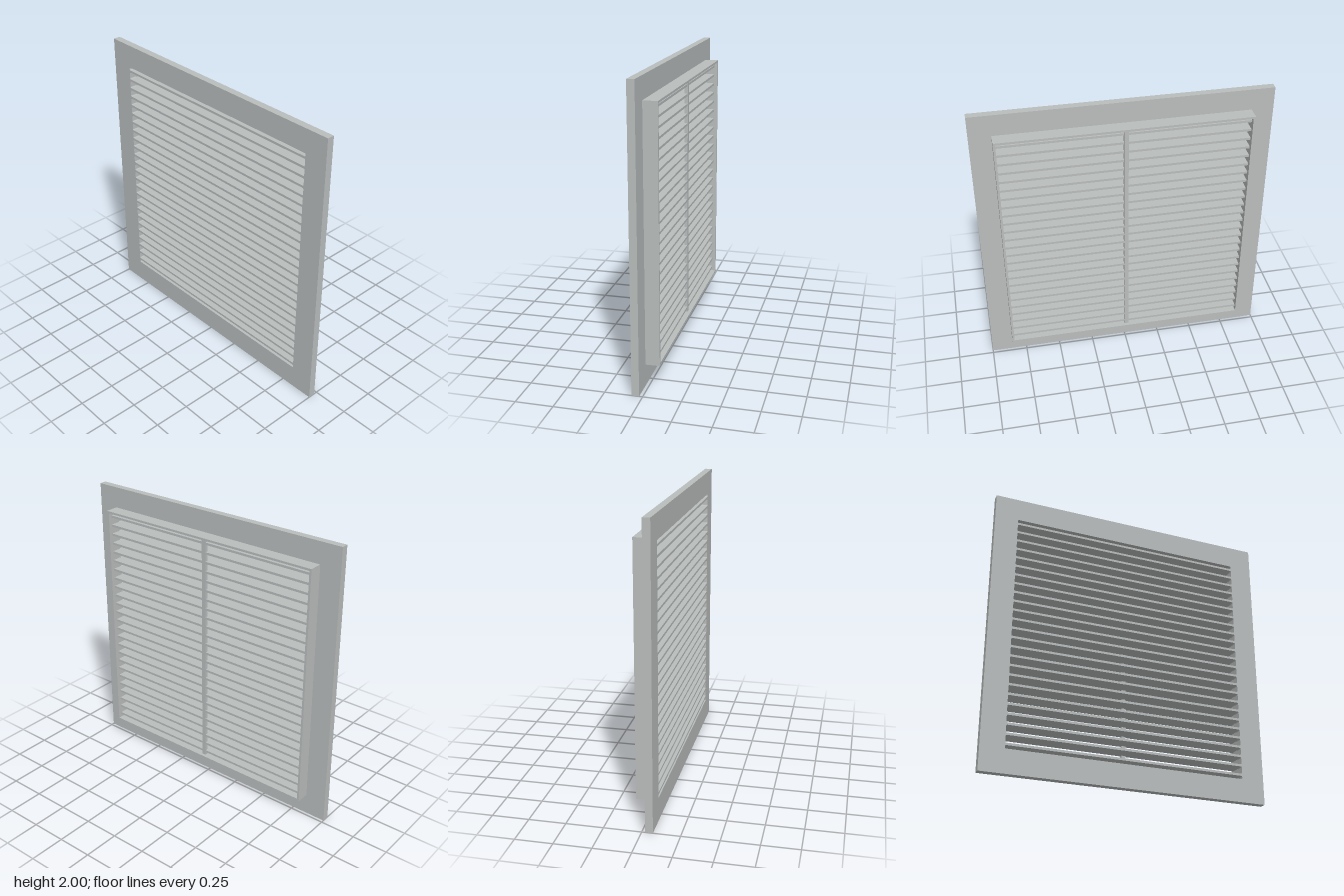
import * as THREE from 'three';

const FRONT = 0.0725, PLATE_BACK = 0.0225, BACK = -0.0725;
const OPEN = 0.837, SLEEVE = 0.852;       // half sizes of opening and sleeve
const SLATS = 25, PITCH = 0.0672, THICK = 0.016;
const SLAT_BACK = -0.047;

// Rectangle path with optional rounded corners
function rect(path, x0, y0, x1, y1, r = 0) {
  if (r === 0) {
    path.moveTo(x0, y0).lineTo(x1, y0).lineTo(x1, y1).lineTo(x0, y1).closePath();
    return path;
  }
  path.absarc(x1 - r, y0 + r, r, -Math.PI / 2, 0, false);
  path.absarc(x1 - r, y1 - r, r, 0, Math.PI / 2, false);
  path.absarc(x0 + r, y1 - r, r, Math.PI / 2, Math.PI, false);
  path.absarc(x0 + r, y0 + r, r, Math.PI, Math.PI * 1.5, false);
  path.closePath();
  return path;
}

function extrude(shape, z0, z1) {
  const g = new THREE.ExtrudeGeometry(shape, { depth: z1 - z0, bevelEnabled: false, curveSegments: 3 });
  return g.translate(0, 0, z0);
}

export function createModel() {
  const group = new THREE.Group();
  const grey = new THREE.MeshStandardMaterial({ color: 0xb9bdbc });
  grey.name = 'grey plastic';
  const add = (name, geometry) => {
    const mesh = new THREE.Mesh(geometry, grey);
    mesh.name = name;
    group.add(mesh);
    return mesh;
  };

  const slatY = Array.from({ length: SLATS }, (_, i) => 1 + (i - (SLATS - 1) / 2) * PITCH);

  // Front plate with a slot between each pair of slats
  const plate = rect(new THREE.Shape(), -1, 0, 1, 2);
  for (let i = 0; i <= SLATS; i++) {
    const bottom = i === 0 ? 1 - OPEN : slatY[i - 1] + THICK / 2;
    const top = i === SLATS ? 1 + OPEN : slatY[i] - THICK / 2;
    plate.holes.push(rect(new THREE.Path(), -OPEN, bottom, OPEN, top, 0.007));
  }
  add('frontPlate', extrude(plate, PLATE_BACK, FRONT));

  // Square sleeve that fits into the wall
  const sleeve = rect(new THREE.Shape(), -SLEEVE, 1 - SLEEVE, SLEEVE, 1 + SLEEVE);
  sleeve.holes.push(rect(new THREE.Path(), -OPEN, 1 - OPEN, OPEN, 1 + OPEN));
  add('rearSleeve', extrude(sleeve, BACK, PLATE_BACK));

  // Horizontal slats continuing behind the plate
  const slat = new THREE.BoxGeometry(OPEN * 2, THICK, PLATE_BACK - SLAT_BACK);
  for (const y of slatY) {
    add('slat', slat).position.set(0, y, (PLATE_BACK + SLAT_BACK) / 2);
  }

  // Upright brace tying the slats together at the back
  add('centreBrace', new THREE.BoxGeometry(0.03, OPEN * 2, 0.022))
    .position.set(0, 1, SLAT_BACK + 0.009);

  return group;
}
